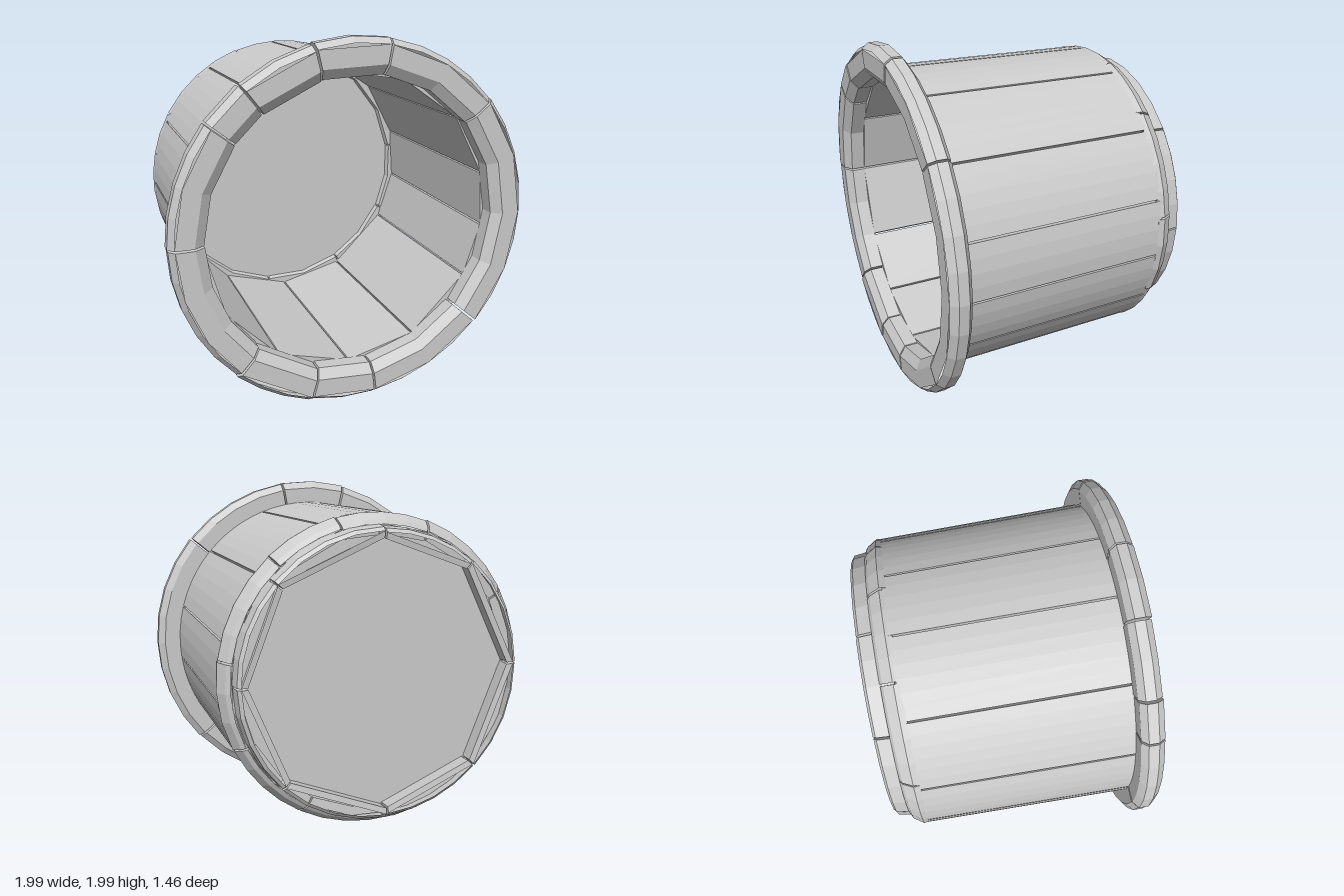
import * as THREE from 'three';

const grey = new THREE.MeshStandardMaterial({ color: 0xcccccc, flatShading: true, side: THREE.DoubleSide });
const rad = THREE.MathUtils.degToRad;
const GAP = 0.35; // half of the seam between neighbouring blocks, in degrees

// Block running from angle a to b (degrees, counter-clockwise from +x) round the z axis.
// outer and inner are [radius, z] chains; the inner side is bent in coarser steps.
function addBlock(parent, name, a, b, outer, inner, outerStep, innerStep) {
  const block = new THREE.Group();
  block.name = name;
  const start = rad(a + GAP), span = rad(b - a - 2 * GAP);
  const v = (p) => new THREE.Vector2(p[0], p[1]);
  const closing = [outer[outer.length - 1], ...inner, outer[0]];
  for (const [chain, step] of [[outer, outerStep], [closing, innerStep]]) {
    const steps = Math.max(1, Math.round((b - a) / step));
    const geo = new THREE.LatheGeometry(chain.map(v), steps, start + Math.PI / 2, span);
    geo.rotateX(Math.PI / 2);
    block.add(new THREE.Mesh(geo, grey));
  }
  // End faces
  const section = new THREE.Shape([...outer, ...inner].map(v));
  for (const angle of [start, start + span]) {
    const geo = new THREE.ShapeGeometry(section);
    geo.rotateX(Math.PI / 2).scale(1, -1, 1); // radius along x, height along -z
    const pos = geo.attributes.position;
    const flat = new THREE.ShapeGeometry(section).attributes.position;
    for (let i = 0; i < pos.count; i++) {
      const r = flat.getX(i);
      pos.setXYZ(i, r * Math.cos(angle), r * Math.sin(angle), flat.getY(i));
    }
    geo.computeVertexNormals();
    block.add(new THREE.Mesh(geo, grey));
  }
  parent.add(block);
}

// Ring of blocks split at the given angles; wobble varies the radius a little
function addRing(parent, name, cuts, outer, inner, outerStep, innerStep, wobble = 0) {
  const ring = new THREE.Group();
  ring.name = name;
  cuts.forEach((a, i) => {
    const b = i + 1 < cuts.length ? cuts[i + 1] : cuts[0] + 360;
    const d = wobble * Math.sin(i * 2.3);
    const shift = (chain) => chain.map(([r, z]) => [r + d, z + d * 0.4]);
    addBlock(ring, name + 'Block', a, b, shift(outer), shift(inner), outerStep, innerStep);
  });
  parent.add(ring);
}

export function createModel() {
  const model = new THREE.Group();
  model.name = 'barrelCup';
  const cup = new THREE.Group();
  cup.name = 'cup';
  cup.position.y = 1;
  model.add(cup);

  // Wall of long staves: curved outside, nearly flat inside
  const staveCuts = [15, 41, 69, 94, 124, 153, 180, 212, 240, 270, 299, 331, 353];
  addRing(cup, 'stave', staveCuts,
    [[0.845, -0.56], [0.865, 0.61]],
    [[0.81, 0.61], [0.8, -0.56]], 5, 28);

  // Broad rim round the mouth
  const rimCuts = [40, 80, 104, 128, 142, 180, 228, 255, 277, 319];
  addRing(cup, 'rim', rimCuts,
    [[0.85, 0.605], [0.955, 0.605], [0.995, 0.635], [0.995, 0.69], [0.965, 0.728]],
    [[0.865, 0.728], [0.81, 0.69], [0.81, 0.61]], 10, 19, 0.004);

  // Sloping shoulder between the wall and the foot
  const shoulderCuts = [8, 48, 75, 110, 150, 185, 222, 262, 300, 335];
  addRing(cup, 'shoulder', shoulderCuts,
    [[0.79, -0.645], [0.815, -0.63], [0.85, -0.575], [0.845, -0.54]],
    [[0.77, -0.54], [0.74, -0.64]], 10, 20, 0.003);

  // Foot ring at the back
  const footCuts = [0, 42, 90, 130, 178, 225, 268, 315];
  addRing(cup, 'foot', footCuts,
    [[0.755, -0.73], [0.775, -0.715], [0.785, -0.64], [0.785, -0.6]],
    [[0.735, -0.6], [0.72, -0.725]], 11, 45, 0.004);

  // Floor closing the cup
  const floorGeo = new THREE.CylinderGeometry(0.8, 0.78, 0.06, 24);
  floorGeo.rotateX(Math.PI / 2);
  const floor = new THREE.Mesh(floorGeo, grey);
  floor.name = 'floor';
  floor.position.z = -0.6;
  cup.add(floor);

  return model;
}
